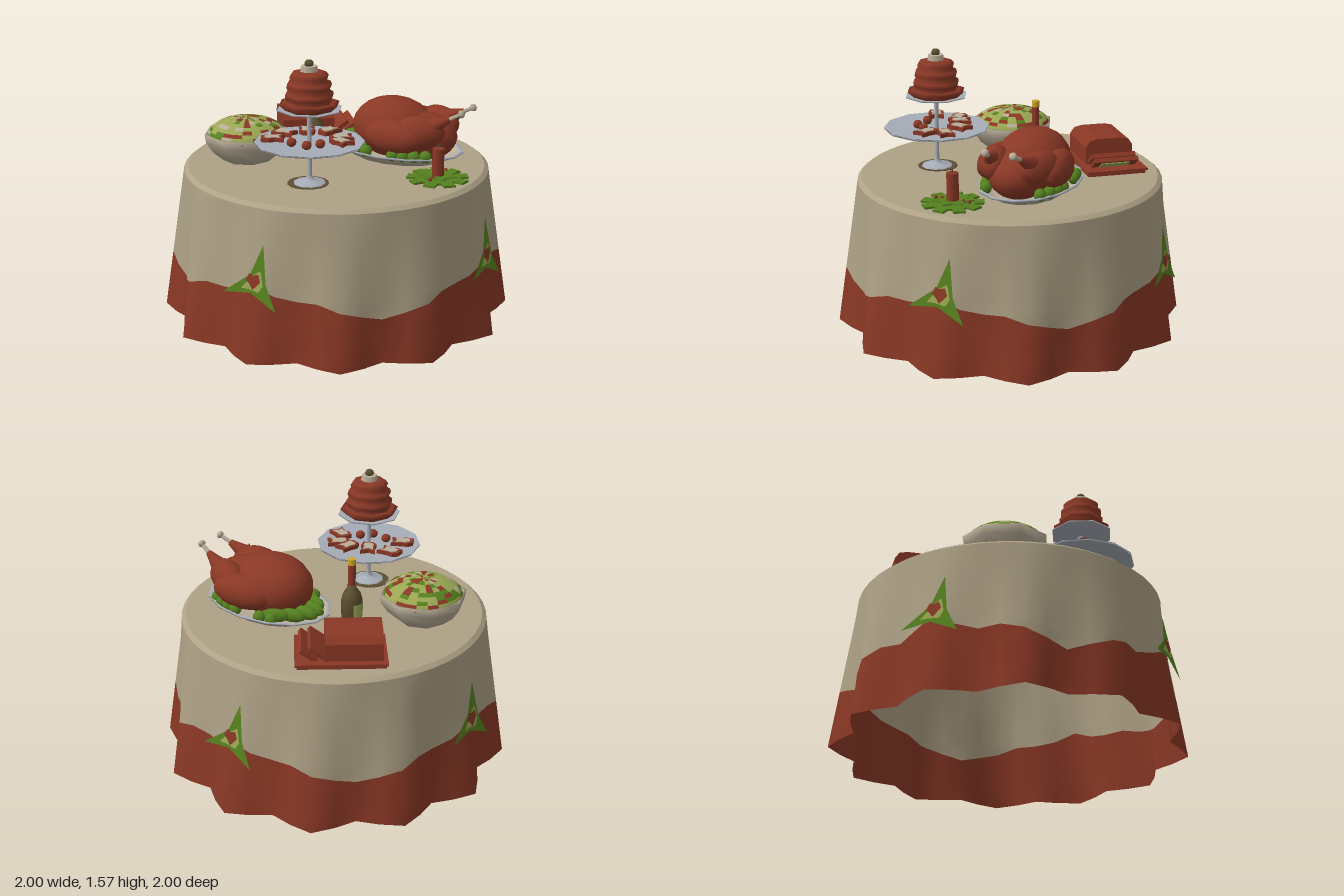
import * as THREE from 'three';

const mat = (name, color) => {
  const m = new THREE.MeshStandardMaterial({ color, side: THREE.DoubleSide });
  m.name = name;
  return m;
};

export function createModel() {
  const root = new THREE.Group();
  const cream = mat('cream', 0xaea185), red = mat('brick red', 0x8a3825), green = mat('leaf green', 0x55801f);
  const lime = mat('pale green', 0x9ba653), silver = mat('silver', 0xa6acb6), yellow = mat('yellow', 0xcfa828);
  const brown = mat('olive brown', 0x5d5032), bone = mat('bone', 0xb9ad98);

  const group = (name, x = 0, y = 0, z = 0, parent = root) => {
    const g = new THREE.Group();
    g.name = name;
    g.position.set(x, y, z);
    parent.add(g);
    return g;
  };
  const add = (parent, name, geo, m, x = 0, y = 0, z = 0) => {
    const mesh = new THREE.Mesh(geo, m);
    mesh.name = name;
    mesh.position.set(x, y, z);
    parent.add(mesh);
    return mesh;
  };
  const lathe = (pts, seg) => new THREE.LatheGeometry(pts.map(p => new THREE.Vector2(...p)), seg);
  const ball = (parent, name, m, p, s, seg = 12) => {
    const b = add(parent, name, new THREE.SphereGeometry(1, seg, Math.ceil(seg * 0.7)), m, ...p);
    b.scale.set(...s);
    return b;
  };
  const shape = pts => new THREE.Shape(pts.map(p => new THREE.Vector2(...p)));
  const slab = (pts, depth) => new THREE.ExtrudeGeometry(shape(pts), { depth, bevelEnabled: false }).rotateX(-Math.PI / 2);
  let seed = 7;
  const rand = () => (seed = (seed * 16807) % 2147483647) / 2147483647;

  // Tablecloth: twelve folds that deepen toward the hem
  const TOP = 0.87, SEG = 48;
  const clothRadius = (a, y) => {
    const t = Math.min(y / 0.85, 1);
    const peak = 1 - 0.13 * t, valley = 0.885 - 0.015 * t;
    return valley + (peak - valley) * (0.5 + 0.5 * Math.cos(12 * a));
  };
  // Height of the swagged border, by angle from the nearest bow
  const borderHeight = a => {
    const d = Math.abs(THREE.MathUtils.euclideanModulo(a * 180 / Math.PI + 45, 90) - 45);
    const k = [[0, 0.43], [12, 0.35], [23, 0.36], [45, 0.25]];
    const i = d < 12 ? 0 : d < 23 ? 1 : 2;
    return THREE.MathUtils.mapLinear(d, k[i][0], k[i + 1][0], k[i][1], k[i + 1][1]);
  };
  const clothBand = (rows, point) => {
    const pos = [], idx = [];
    for (let i = 0; i <= rows; i++) for (let j = 0; j < SEG; j++) {
      const a = j / SEG * Math.PI * 2, [r, y] = point(a, i / rows);
      pos.push(Math.sin(a) * r, y, Math.cos(a) * r);
      if (i === rows) continue;
      const n = (j + 1) % SEG, p = i * SEG + j, q = i * SEG + n;
      idx.push(p, q, q + SEG, p, q + SEG, p + SEG);
    }
    const g = new THREE.BufferGeometry();
    g.setAttribute('position', new THREE.Float32BufferAttribute(pos, 3));
    g.setIndex(idx);
    g.computeVertexNormals();
    return g;
  };
  const cloth = group('tablecloth');
  add(cloth, 'clothBorder', clothBand(3, (a, t) => {
    const y = borderHeight(a) * t;
    return [clothRadius(a, y), y];
  }), red);
  add(cloth, 'clothSkirt', clothBand(6, (a, t) => {
    const h = borderHeight(a), y = h + (0.85 - h) * t;
    return [clothRadius(a, y), y];
  }), cream);
  add(cloth, 'clothEdge', clothBand(1, (a, t) => [0.87 - 0.025 * t, 0.85 + 0.02 * t]), cream);
  add(cloth, 'clothTop', new THREE.CircleGeometry(0.846, SEG).rotateX(-Math.PI / 2), cream, 0, TOP, 0);

  // Leaf bows on the four sides
  const leafBow = [[0.06, 0.67], [0.09, 0.46], [0.16, 0.32], [0, 0.4], [-0.17, 0.38], [-0.01, 0.5]];
  const bowPatch = [[0.055, 0.53], [0.075, 0.45], [0.05, 0.41], [-0.01, 0.42], [-0.06, 0.42], [0.01, 0.5]];
  const bowHeart = [[0.015, 0.42], [0.06, 0.47], [0.045, 0.51], [0.015, 0.5], [-0.01, 0.51], [-0.03, 0.47], [-0.005, 0.45]];
  for (let k = 0; k < 4; k++) {
    const side = group('bow');
    side.rotation.y = k * Math.PI / 2;
    const plate = group('bowPlate', 0, 0, 1.007, side);
    plate.rotation.x = -Math.atan(0.13 / 0.85);
    [[leafBow, green, 'bowLeaf'], [bowPatch, lime, 'bowPatch'], [bowHeart, red, 'bowHeart']].forEach(([pts, m, n], i) =>
      add(plate, n, new THREE.ShapeGeometry(shape(pts)), m, 0, 0, i * 0.004));
  }

  // Roast bird on an oval platter
  const bird = group('roastBird', 0.27, TOP, -0.25);
  add(bird, 'platter', lathe([[0, 0.01], [0.27, 0.005], [0.36, 0.05], [0.39, 0.065]], 14), bone).scale.z = 0.68;
  add(bird, 'platterRim', lathe([[0.375, 0.06], [0.395, 0.06], [0.395, 0.07], [0.375, 0.068]], 14), silver).scale.z = 0.68;
  ball(bird, 'breast', red, [-0.03, 0.18, 0], [0.245, 0.175, 0.2], 18);
  ball(bird, 'back', red, [0.14, 0.15, 0], [0.22, 0.14, 0.17], 16);
  for (const s of [-1, 1]) {
    ball(bird, 'wing', red, [0.05, 0.17, s * 0.17], [0.19, 0.1, 0.09], 14).rotation.y = s * -0.12;
    ball(bird, 'thigh', red, [0.19, 0.2, s * 0.13], [0.15, 0.1, 0.085], 14).rotation.set(0, s * 0.35, 0.1);
    const from = new THREE.Vector3(0.18, 0.2, s * 0.13), to = new THREE.Vector3(0.43, 0.33, s * 0.08);
    const leg = group('leg', from.x, from.y, from.z, bird);
    leg.quaternion.setFromUnitVectors(new THREE.Vector3(0, 1, 0), to.clone().sub(from).normalize());
    add(leg, 'drumstick', lathe([[0, -0.06], [0.07, 0], [0.066, 0.06], [0.035, 0.15], [0.018, 0.21], [0, 0.215]], 10), red);
    add(leg, 'legBone', new THREE.CylinderGeometry(0.011, 0.012, 0.1, 6), bone, 0, 0.235, 0);
    ball(leg, 'boneKnob', bone, [0, 0.285, 0], [0.023, 0.018, 0.023], 8);
  }
  // Greens around the bird
  for (let i = 0; i < 6; i++) {
    const a = Math.PI + (i - 2.5) * 0.37;
    const leaf = ball(bird, 'lettuceLeaf', green, [Math.cos(a) * 0.29, 0.085, Math.sin(a) * 0.2], [0.085, 0.04, 0.03], 8);
    leaf.rotation.y = -Math.sin(a) * 0.55;
  }
  for (const s of [-1, 1]) for (const x of [-0.17, -0.1, 0.07, 0.13, 0.19, 0.25])
    ball(bird, 'sprout', green, [x, 0.075, s * 0.22 * Math.sqrt(1 - x * x / 0.13)], [0.038, 0.035, 0.035], 8);

  // Salad bowl
  const bowl = group('saladBowl', -0.475, TOP, 0.2);
  add(bowl, 'bowl', lathe([[0, 0], [0.14, 0], [0.2, 0.05], [0.24, 0.11], [0.248, 0.16], [0.228, 0.16], [0.215, 0.12]], 8), bone);
  const saladGeo = new THREE.SphereGeometry(0.228, 22, 9, 0, Math.PI * 2, 0, Math.PI / 2).scale(1, 0.47, 1);
  for (let i = 0; i < saladGeo.index.count; i += 6) {
    const r = rand();
    saladGeo.addGroup(i, 6, r < 0.56 ? 0 : r < 0.76 ? 1 : r < 0.88 ? 2 : 3);
  }
  add(bowl, 'salad', saladGeo, [lime, red, bone, green], 0, 0.14, 0);

  // Two-tier cake stand
  const stand = group('cakeStand', 0.07, TOP, 0.43);
  add(stand, 'standShadowMat', new THREE.CylinderGeometry(0.115, 0.115, 0.004, 16), brown, -0.01, 0.002, 0);
  add(stand, 'standFoot', lathe([[0.09, 0.004], [0.085, 0.012], [0.03, 0.022], [0.013, 0.05], [0.012, 0.37], [0.025, 0.39], [0.025, 0.42]], 10), silver);
  add(stand, 'largePlate', lathe([[0, 0.218], [0.2, 0.215], [0.3, 0.232], [0.302, 0.242], [0.2, 0.225], [0, 0.228]], 12), silver);
  add(stand, 'smallPlate', lathe([[0, 0.405], [0.11, 0.405], [0.18, 0.422], [0.18, 0.43], [0.11, 0.418], [0, 0.418]], 8), silver);
  add(stand, 'cake', lathe([[0, 0.42], [0.13, 0.42], [0.17, 0.455], [0.14, 0.465], [0.115, 0.46], [0.135, 0.49], [0.135, 0.51], [0.115, 0.525],
    [0.127, 0.55], [0.122, 0.57], [0.1, 0.58], [0.11, 0.605], [0.095, 0.625], [0.07, 0.632], [0, 0.635]], 8), red);
  add(stand, 'icingCap', new THREE.CylinderGeometry(0.045, 0.05, 0.035, 8), bone, 0, 0.645, 0);
  ball(stand, 'cakeTopper', brown, [0, 0.675, 0], [0.026, 0.022, 0.026], 8);
  // Iced biscuits on the large plate
  const biscuit = k => [[-0.065, -0.03], [-0.02, -0.045], [0.01, -0.035], [0.06, -0.05], [0.045, 0], [0.07, 0.035], [0.01, 0.035], [-0.03, 0.045], [-0.06, 0.025]]
    .map(p => [p[0] * k, p[1] * k]);
  [[-0.19, -0.05, 0.2], [-0.18, 0.09, 0.6], [0.03, -0.16, 1.4], [0.13, -0.12, 0.8], [0.18, -0.03, -0.3], [-0.08, -0.11, 2.2]].forEach(([x, z, a], i) => {
    const b = group('biscuit', x, 0.237 + (i % 3) * 0.007, z, stand);
    b.rotation.y = a;
    add(b, 'biscuitBase', slab(biscuit(1), 0.022), red);
    add(b, 'biscuitIcing', slab(biscuit(0.68), 0.004), bone, 0, 0.022, 0);
  });
  for (const [x, z] of [[0.09, 0.04], [0.04, 0.1], [-0.06, 0.09]]) ball(stand, 'berry', red, [x, 0.25, z], [0.028, 0.025, 0.028], 8);

  // Bottle holding a candle
  const bottle = group('bottle', -0.185, TOP, -0.08);
  add(bottle, 'bottleBody', lathe([[0, 0], [0.058, 0], [0.06, 0.14], [0.05, 0.18], [0.027, 0.21], [0.026, 0.23], [0, 0.23]], 8), brown);
  add(bottle, 'bottleLabel', new THREE.CylinderGeometry(0.063, 0.063, 0.09, 4, 1, true, Math.PI * 1.25, Math.PI), lime, 0, 0.08, 0);
  add(bottle, 'bottleCandle', new THREE.CylinderGeometry(0.022, 0.022, 0.13, 8), red, 0, 0.285, 0);
  add(bottle, 'candleTip', new THREE.CylinderGeometry(0.023, 0.023, 0.035, 8), yellow, 0, 0.368, 0);

  // Two small yellow dishes
  for (const [x, z] of [[-0.25, -0.23], [-0.345, -0.13]])
    add(root, 'yellowDish', lathe([[0, 0], [0.042, 0], [0.06, 0.045], [0.052, 0.045], [0.045, 0.035], [0, 0.035]], 8), yellow, x, TOP, z);

  // Sliced loaf on a tray
  const tray = group('loafTray', -0.375, TOP, -0.435);
  tray.rotation.y = 0.68;
  const box = (name, m, w, h, d, x, y, z = 0) => add(tray, name, new THREE.BoxGeometry(w, h, d), m, x, y, z);
  box('trayBase', red, 0.48, 0.02, 0.34, 0, 0.012);
  box('trayLip', red, 0.5, 0.012, 0.36, 0, 0.026);
  const end = [[-0.14, 0.03], [0.14, 0.03], [0.14, 0.13], [0.115, 0.165], [0.07, 0.175], [-0.07, 0.175], [-0.115, 0.165], [-0.14, 0.13]];
  const loaf = new THREE.ExtrudeGeometry(shape(end), { depth: 0.31, bevelEnabled: false }).rotateY(Math.PI / 2);
  add(tray, 'loaf', loaf, red, -0.225, 0, 0);
  for (let i = 0; i < 2; i++) {
    const slice = group('slice', 0.125 + i * 0.05, 0.07 - i * 0.012, 0, tray);
    slice.rotation.z = -0.95;
    add(slice, 'sliceCrust', new THREE.BoxGeometry(0.025, 0.11, 0.26), red);
    add(slice, 'sliceFace', new THREE.BoxGeometry(0.006, 0.07, 0.17), i ? lime : bone, 0.014, 0, 0);
  }

  // Candle in a wreath of leaves
  const wreath = group('candleWreath', 0.66, TOP, 0.04);
  const ring = [];
  for (let i = 0; i < 9; i++) for (const [o, r] of [[-0.22, 0.17], [0.16, 0.175], [0.24, 0.125], [0.42, 0.12]]) {
    const a = i / 9 * Math.PI * 2 + o;
    ring.push([Math.cos(a) * r, Math.sin(a) * r]);
  }
  add(wreath, 'wreathLeaves', slab(ring, 0.012), green, 0, 0.008, 0);
  for (let i = 0; i < 7; i++) {
    const leaf = add(wreath, 'upperLeaf', slab([[0.03, -0.02], [0.07, -0.035], [0.12, 0], [0.07, 0.035], [0.03, 0.02]], 0.006), green, 0, 0.022, 0);
    leaf.rotation.set(0, i / 7 * Math.PI * 2, 0.08);
  }
  for (const z of [-0.1, -0.065, 0.065, 0.1]) ball(wreath, 'wreathBerry', red, [0, 0.032, z], [0.011, 0.011, 0.011], 6);
  add(wreath, 'candle', new THREE.CylinderGeometry(0.035, 0.035, 0.165, 8), red, 0, 0.1, 0);
  add(wreath, 'wick', new THREE.CylinderGeometry(0.004, 0.004, 0.025, 5), brown, 0, 0.195, 0);
  return root;
}
